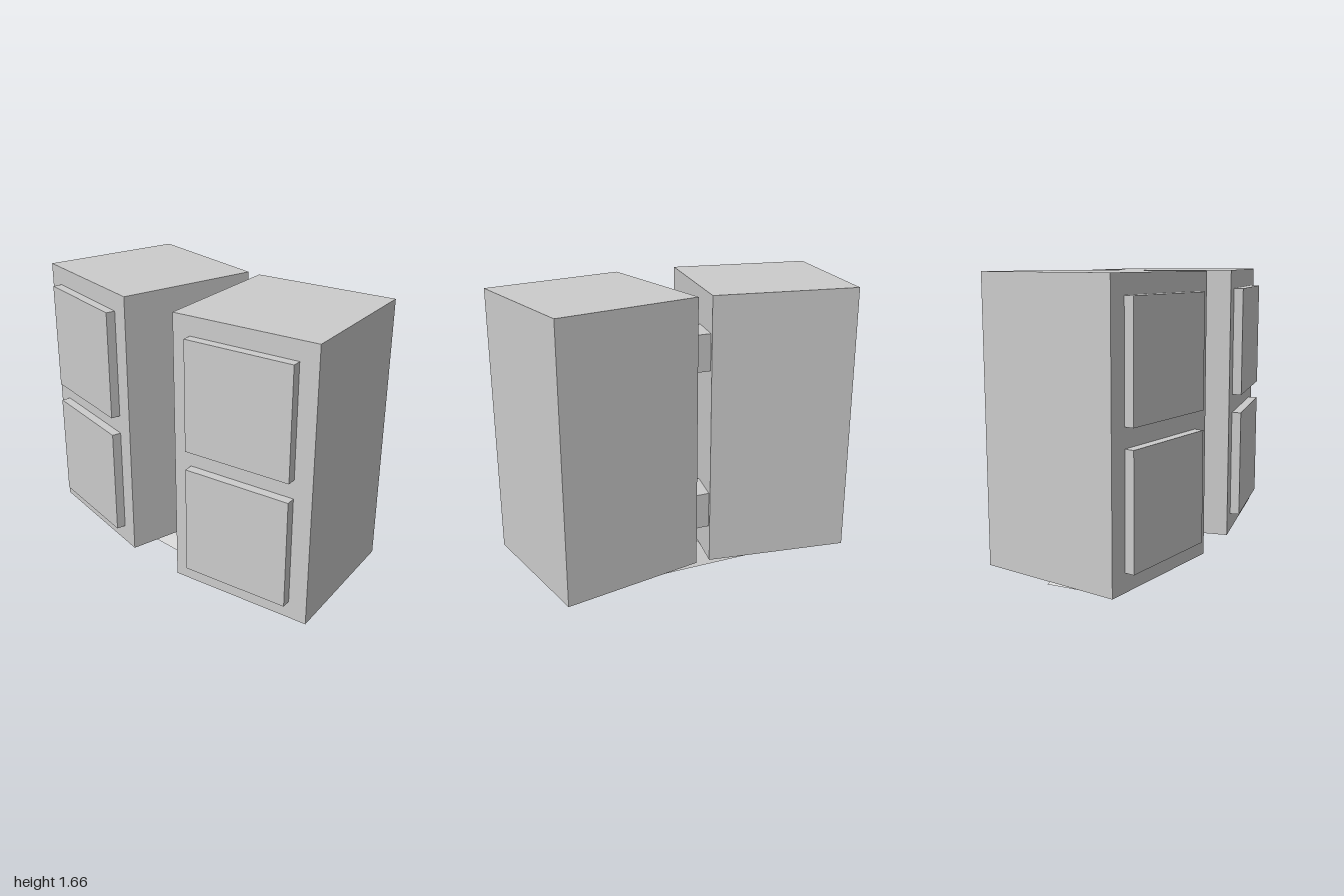
import * as THREE from 'three';

const grey = new THREE.MeshStandardMaterial({ color: 0xcccccc, flatShading: true });

function box(name, [w, h, d], [x, y, z]) {
  const mesh = new THREE.Mesh(new THREE.BoxGeometry(w, h, d), grey);
  mesh.name = name;
  mesh.position.set(x, y, z);
  return mesh;
}

// One upright cabinet with two raised front panels, turned outward
function createCabinet(side) {
  const size = 0.828, bottom = 0.108, top = 1.662, panelDepth = 0.053;
  const cabinet = new THREE.Group();
  cabinet.name = side > 0 ? 'leftCabinet' : 'rightCabinet';
  cabinet.add(box('cabinetBody', [size, top - bottom, size], [0, (top + bottom) / 2, 0]));
  for (const [name, y] of [['lowerPanel', 0.52], ['upperPanel', 1.247]]) {
    cabinet.add(box(name, [0.62, 0.62, panelDepth], [0, y, (size + panelDepth) / 2]));
  }
  cabinet.position.set(side * 0.52, 0, -0.018);
  cabinet.rotation.y = side * THREE.MathUtils.degToRad(10);
  return cabinet;
}

// Foot with sloping sides: a box whose top is drawn in by a fixed margin
function createFoot() {
  const height = 0.108, inset = 0.104;
  const geometry = new THREE.BoxGeometry(1.45, height, 0.415);
  const p = geometry.attributes.position;
  for (let i = 0; i < p.count; i++) {
    if (p.getY(i) > 0) {
      p.setX(i, p.getX(i) - Math.sign(p.getX(i)) * inset);
      p.setZ(i, p.getZ(i) - Math.sign(p.getZ(i)) * inset);
    }
  }
  geometry.computeVertexNormals();
  const foot = new THREE.Mesh(geometry, grey);
  foot.name = 'foot';
  foot.position.set(0, height / 2, -0.016);
  return foot;
}

export function createModel() {
  const model = new THREE.Group();
  model.name = 'twinCabinets';
  for (const side of [1, -1]) model.add(createCabinet(side));
  // Blocks joining the two cabinets near the back
  for (const [name, y] of [['lowerConnector', 0.42], ['upperConnector', 1.35]]) {
    model.add(box(name, [0.16, 0.207, 0.208], [0, y, -0.227]));
  }
  model.add(createFoot());
  return model;
}
